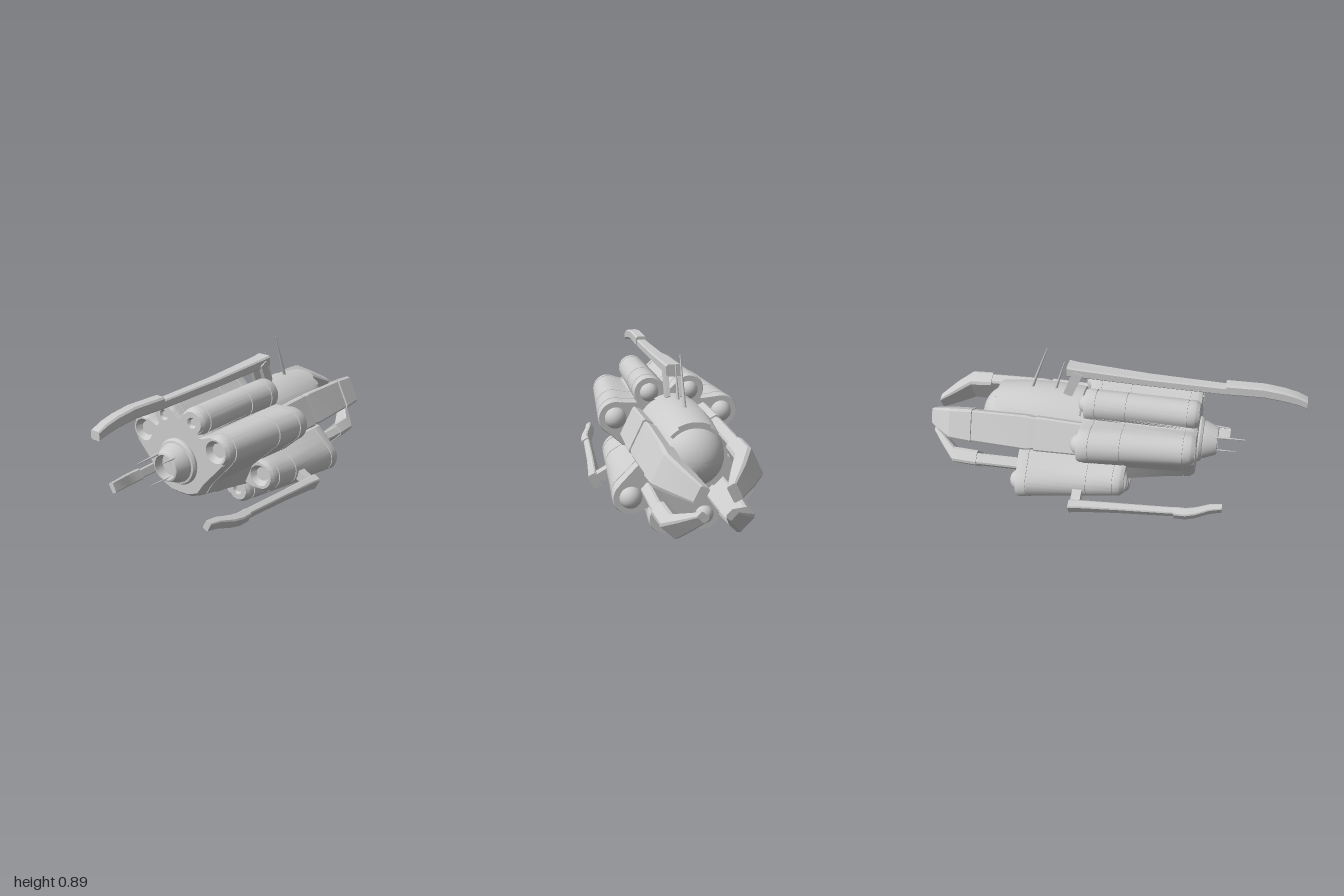
import * as THREE from 'three';
import { toCreasedNormals } from 'three/addons/utils/BufferGeometryUtils.js';

const material = new THREE.MeshStandardMaterial({ color: 0xcccccc });
const thin = new THREE.MeshStandardMaterial({ color: 0xcccccc, side: THREE.DoubleSide });

function add(parent, name, geometry, x = 0, y = 0, z = 0, mat = material) {
  const mesh = new THREE.Mesh(geometry, mat);
  mesh.name = name;
  mesh.position.set(x, y, z);
  parent.add(mesh);
  return mesh;
}

// Skin over rings ordered front to back, each counter-clockwise seen from +z
function loft(rings, capFront = true, crease = 0.6) {
  const pos = [], n = rings[0].length;
  const tri = (...v) => v.forEach(p => pos.push(p.x, p.y, p.z));
  const mid = r => r.reduce((s, p) => s.add(p), new THREE.Vector3()).divideScalar(n);
  const first = rings[0], last = rings[rings.length - 1];
  const c0 = mid(first), c1 = mid(last);
  for (let j = 0; j < n; j++) {
    const k = (j + 1) % n;
    for (let i = 0; i < rings.length - 1; i++) {
      const a = rings[i], b = rings[i + 1];
      tri(a[j], b[j], a[k]);
      tri(a[k], b[j], b[k]);
    }
    if (capFront) tri(c0, first[j], first[k]);
    tri(c1, last[k], last[j]);
  }
  const g = new THREE.BufferGeometry();
  g.setAttribute('position', new THREE.Float32BufferAttribute(pos, 3));
  return toCreasedNormals(g, crease);
}

// Lathe around the z axis; points are [radius, z] from back to front
function latheZ(points, segments = 32, start = 0, length = Math.PI * 2) {
  const g = new THREE.LatheGeometry(points.map(p => new THREE.Vector2(...p)), segments, start, length);
  return toCreasedNormals(g.rotateX(Math.PI / 2), 0.5);
}

// Bar of chamfered rectangular sections [z, radius, width, thickness]
function bar(sections) {
  return loft(sections.map(([z, r, w, t]) => {
    const a = w / 2, b = t / 2, c = Math.min(w, t) * 0.15;
    return [[a, c - b], [a, b - c], [a - c, b], [c - a, b], [-a, b - c], [-a, c - b], [c - a, -b], [a - c, -b]]
      .map(([x, y]) => new THREE.Vector3(x, r + y, z));
  }), true, 0.4);
}

function needle(parent, from, to, r) {
  const a = new THREE.Vector3(...from), b = new THREE.Vector3(...to), d = b.clone().sub(a);
  const m = add(parent, 'antenna', new THREE.CylinderGeometry(r * 0.25, r, d.length(), 8));
  m.position.copy(a).addScaledVector(d, 0.5);
  m.quaternion.setFromUnitVectors(new THREE.Vector3(0, 1, 0), d.normalize());
}

// Outline of merged round lobes and a core polygon, measured outward from a centre
function outline(block, t, inset, z) {
  const mix = (a, b) => a.map((v, i) => v + (b[i] - v) * t);
  const half = block.core[0].map((p, i) => mix(p, block.core[1][i]));
  const poly = [...half, ...half.slice(1, -1).reverse().map(([x, y]) => [-x, y])];
  const lobes = block.lobes[0].map((l, i) => mix(l, block.lobes[1][i]));
  const circles = lobes.flatMap(([x, y, r]) => [[x, y, r], [-x, y, r]]);
  const ring = [], n = 240;
  for (let i = 0; i < n; i++) {
    const a = -Math.PI / 2 + i / n * Math.PI * 2, dx = Math.cos(a), dy = Math.sin(a);
    let reach = 0;
    for (const [x, y, r] of circles) {
      const oy = y - block.cy, along = x * dx + oy * dy, off = x * dy - oy * dx, R = r - inset;
      if (along > 0 && Math.abs(off) < R) reach = Math.max(reach, along + Math.sqrt(R * R - off * off));
    }
    poly.forEach(([x1, y1], j) => {
      const [x2, y2] = poly[(j + 1) % poly.length];
      const ex = x2 - x1, ey = y2 - y1, oy = y1 - block.cy, det = dx * ey - dy * ex;
      if (Math.abs(det) < 1e-9) return;
      const s = (x1 * ey - oy * ex) / det, u = (x1 * dy - oy * dx) / det;
      if (s > 0 && u >= -1e-6 && u <= 1 + 1e-6) reach = Math.max(reach, s - inset);
    });
    ring.push(new THREE.Vector3(dx * reach, block.cy + dy * reach, z));
  }
  return ring;
}

function hullBlock(name, block) {
  const group = new THREE.Group();
  group.name = name;
  const [z0, z1] = block.z, levels = [[0, 0.014], [0.025, 0.004], [0.04, 0]];
  for (const t of block.grooves)
    levels.push([t, 0], [t + 0.001, 0.005], [t + 0.012, 0.005], [t + 0.013, 0]);
  levels.push([0.98, 0], [1, 0.006]);
  const rings = levels.map(([t, inset]) => outline(block, t, inset, z0 + (z1 - z0) * t));
  add(group, 'hull', loft(rings, false));
  // Front plate with a recessed dish in every lobe
  const plate = new THREE.Shape(rings[0].map(p => new THREE.Vector2(p.x, p.y)));
  block.lobes[0].forEach(([x, y], i) => {
    const rim = i ? 0.028 : 0.058;
    for (const s of [1, -1]) {
      plate.holes.push(new THREE.Path().absarc(s * x, y, rim, 0, Math.PI * 2, true));
      add(group, 'dish', latheZ([[rim, 0], [rim * 0.65, -rim * 0.5], [0, -rim * 0.5]], 24), s * x, y, z0);
    }
  });
  add(group, 'frontPlate', new THREE.ShapeGeometry(plate, 24), 0, 0, z0);
  // Rounded caps at the back of the lobes
  block.lobes[1].forEach(([x, y], i) => {
    for (const s of [1, -1])
      add(group, 'rearDome', new THREE.SphereGeometry(i ? 0.05 : 0.058, 24, 16), s * x, y, z1 + 0.01);
  });
  return group;
}

// Group whose local +y points outward, turned about the long axis
function turned(name, degrees, y) {
  const g = new THREE.Group();
  g.name = name;
  g.position.y = y;
  g.rotation.z = THREE.MathUtils.degToRad(degrees);
  return g;
}

export function createModel() {
  const model = new THREE.Group();
  model.name = 'spaceship';

  // Two lobed hull blocks, flaring toward the back
  model.add(hullBlock('upperHull', {
    cy: 0.46, z: [0.475, -0.115], grooves: [0.09, 0.62, 0.89],
    lobes: [[[0.237, 0.535, 0.08], [0.092, 0.65, 0.072]], [[0.285, 0.52, 0.092], [0.106, 0.647, 0.083]]],
    core: [[[0, 0.66], [0.042, 0.701], [0.155, 0.588], [0.222, 0.612], [0.295, 0.475], [0.165, 0.325],
      [0.125, 0.268], [0.06, 0.243], [0, 0.24]],
    [[0, 0.66], [0.05, 0.706], [0.175, 0.6], [0.26, 0.606], [0.34, 0.45], [0.21, 0.33],
      [0.15, 0.16], [0.07, 0.12], [0, 0.12]]],
  }));
  model.add(hullBlock('lowerHull', {
    cy: 0.27, z: [0.12, -0.46], grooves: [0.09, 0.33, 0.89],
    lobes: [[[0.238, 0.28, 0.087], [0.092, 0.155, 0.072]], [[0.275, 0.215, 0.092], [0.1, 0.087, 0.087]]],
    core: [[[0, 0.15], [0.042, 0.104], [0.155, 0.215], [0.21, 0.198], [0.295, 0.345], [0.2, 0.38], [0, 0.385]],
      [[0, 0.085], [0.04, 0.025], [0.185, 0.2], [0.24, 0.131], [0.335, 0.285], [0.24, 0.385], [0, 0.39]]],
  }));

  // Nose ring with a hollow cone
  add(model, 'nose', latheZ([[0.122, 0.46], [0.122, 0.485], [0.114, 0.498], [0.103, 0.5], [0.1, 0.515],
    [0.075, 0.575], [0.066, 0.578], [0.06, 0.53], [0, 0.53]], 32), 0, 0.425);
  needle(model, [-0.05, 0.483, 0.52], [-0.042, 0.483, 0.72], 0.009);
  needle(model, [0.05, 0.483, 0.52], [0.046, 0.483, 0.64], 0.009);
  needle(model, [0, 0.36, 0.52], [0, 0.366, 0.68], 0.006);

  // Rear capsule with its round end
  const cap = [];
  for (let i = 0; i <= 10; i++) {
    const a = i / 10 * Math.PI / 2;
    cap.push([0.158 * Math.sin(a), -0.56 - 0.158 * Math.cos(a)]);
  }
  add(model, 'capsule', latheZ([...cap, [0.17, -0.35], [0.17, -0.05]], 40), 0, 0.455);

  // Raised shell panels in three directions
  for (let k = 0; k < 3; k++) {
    for (const [half, lift] of [[0.8, 0], [0.48, 0.012]]) {
      const profile = [[0.14, -0.62], [0.163 + lift, -0.62], [0.183 + lift, -0.45],
        [0.187 + lift, -0.3], [0.178 + lift, -0.15], [0.15, -0.12]];
      add(model, 'shellPanel', latheZ(profile, 14, Math.PI + k * Math.PI * 2 / 3 - half, half * 2), 0, 0.455, 0, thin);
    }
  }

  // Two pairs of claws closing behind the capsule
  for (const s of [1, -1]) {
    const upper = turned('upperClaw', s * 64, 0.39);
    add(upper, 'clawRoot', bar([[-0.08, 0.227, 0.17, 0.055], [-0.37, 0.225, 0.185, 0.06]]));
    add(upper, 'clawArm', bar([[-0.37, 0.22, 0.17, 0.055], [-0.42, 0.22, 0.185, 0.06], [-0.73, 0.215, 0.17, 0.06]]));
    add(upper, 'clawTip', bar([[-0.72, 0.213, 0.18, 0.085], [-0.84, 0.21, 0.165, 0.09],
      [-0.92, 0.15, 0.13, 0.08], [-1, 0.082, 0.085, 0.045]]));
    const lower = turned('lowerClaw', s * 135, 0.39);
    add(lower, 'clawArm', bar([[-0.42, 0.23, 0.13, 0.06], [-0.73, 0.235, 0.125, 0.06]]));
    add(lower, 'clawTip', bar([[-0.72, 0.23, 0.135, 0.08], [-0.86, 0.225, 0.115, 0.08],
      [-0.93, 0.16, 0.085, 0.06], [-1, 0.09, 0.05, 0.035]]));
    model.add(upper, lower);
  }

  // Long top boom with a drooping tip, on two legs
  const topBoom = turned('topBoom', 0, 0.41);
  add(topBoom, 'boomTip', bar([[1, 0.323, 0.054, 0.044], [0.95, 0.341, 0.058, 0.052], [0.88, 0.356, 0.06, 0.056],
    [0.78, 0.367, 0.062, 0.058], [0.59, 0.362, 0.064, 0.06]]));
  add(topBoom, 'boomBar', bar([[0.6, 0.352, 0.052, 0.044], [0.2, 0.357, 0.064, 0.046], [-0.18, 0.372, 0.08, 0.055],
    [-0.23, 0.375, 0.086, 0.062]]));
  for (const s of [1, -1]) {
    const leg = add(topBoom, 'boomLeg', new THREE.BoxGeometry(0.022, 0.15, 0.05), s * 0.036, 0.305, -0.2);
    leg.rotation.x = 0.4;
  }
  model.add(topBoom);
  needle(model, [0, 0.63, -0.31], [0, 0.82, -0.25], 0.009);
  needle(model, [0, 0.63, -0.44], [0, 0.89, -0.34], 0.01);

  // Shorter booms on the lower sides
  for (const s of [1, -1]) {
    const boom = turned('sideBoom', s * 118, 0.41);
    add(boom, 'boomTip', bar([[0.64, 0.363, 0.056, 0.032], [0.58, 0.375, 0.06, 0.038], [0.51, 0.405, 0.062, 0.044],
      [0.46, 0.418, 0.064, 0.046], [0.4, 0.42, 0.064, 0.046]]));
    add(boom, 'boomBar', bar([[0.41, 0.415, 0.05, 0.036], [0.1, 0.437, 0.058, 0.04], [-0.11, 0.455, 0.075, 0.045],
      [-0.15, 0.461, 0.082, 0.05]]));
    add(boom, 'boomStrut', new THREE.BoxGeometry(0.05, 0.12, 0.05), 0, 0.4, -0.12);
    model.add(boom);
  }
  return model;
}
